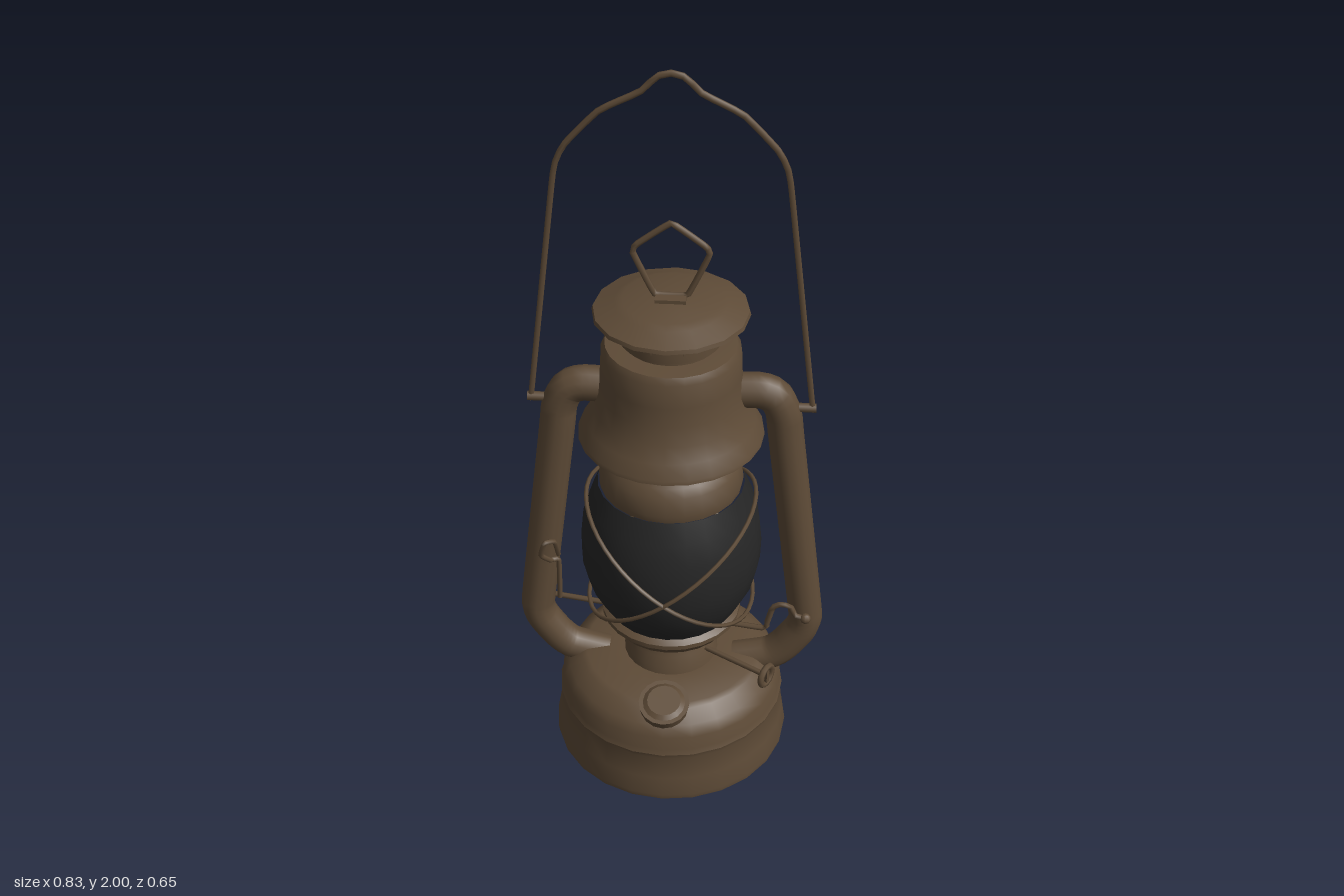
import * as THREE from 'three';
import { toCreasedNormals } from 'three/addons/utils/BufferGeometryUtils.js';

export function createModel() {
  const lantern = new THREE.Group();
  lantern.name = 'lantern';
  const metal = new THREE.MeshStandardMaterial({ color: 0x5e4b37 });
  metal.name = 'agedMetal';
  const glass = new THREE.MeshStandardMaterial({ color: 0x262626 });
  glass.name = 'sootyGlass';

  const add = (name, geometry, material = metal, parent = lantern) => {
    const mesh = new THREE.Mesh(geometry, material);
    mesh.name = name;
    parent.add(mesh);
    return mesh;
  };
  // turned part from [radius, height] pairs, bottom to top
  const turned = (name, profile, material = metal, sides = 24) =>
    add(name, toCreasedNormals(new THREE.LatheGeometry(
      profile.map(([r, y]) => new THREE.Vector2(r, y)), sides), 0.6), material);
  // bent wire or pipe through points
  const bent = (name, points, radius, { closed = false, tension = 0.2, steps = 6, sides = 6 } = {}) => {
    const path = new THREE.CatmullRomCurve3(
      points.map(p => new THREE.Vector3(...p)), closed, 'catmullrom', tension);
    return add(name, new THREE.TubeGeometry(path, points.length * steps, radius, sides, closed));
  };

  // fuel tank with rolled foot and domed shoulder
  turned('fuelTank', [[0, 0], [0.323, 0], [0.325, 0.015], [0.315, 0.07], [0.308, 0.14], [0.312, 0.155],
    [0.306, 0.17], [0.302, 0.21], [0.285, 0.24], [0.25, 0.268], [0.235, 0.276], [0.13, 0.28], [0, 0.28]]);
  // burner cone and globe plate
  turned('burner', [[0.13, 0.275], [0.125, 0.3], [0.115, 0.33], [0.1, 0.37], [0.098, 0.41], [0, 0.41]]);
  turned('globePlate', [[0, 0.395], [0.165, 0.395], [0.175, 0.41], [0.188, 0.425], [0.188, 0.438], [0.172, 0.45], [0, 0.45]]);
  turned('globe', [[0.168, 0.44], [0.195, 0.485], [0.222, 0.54], [0.238, 0.61], [0.24, 0.67],
    [0.233, 0.74], [0.216, 0.8], [0.192, 0.86]], glass);
  // collar above the globe
  turned('collar', [[0, 0.855], [0.185, 0.855], [0.188, 0.875], [0.178, 0.925], [0.162, 0.945],
    [0.146, 0.965], [0.144, 1.06], [0, 1.06]]);
  // flared hood
  turned('hood', [[0.14, 1.05], [0.222, 1.025], [0.238, 1.015], [0.236, 1.025], [0.215, 1.06], [0.196, 1.1], [0.184, 1.15],
    [0.178, 1.2], [0.175, 1.265], [0.165, 1.283], [0.12, 1.287], [0, 1.287]]);

  // vented chimney: lower ring, four posts and a top cap
  turned('chimneyRing', [[0.118, 1.28], [0.118, 1.295], [0.13, 1.3], [0.13, 1.327], [0.12, 1.33], [0, 1.33]]);
  for (let i = 0; i < 4; i++) {
    const post = add('ventPost', new THREE.BoxGeometry(0.08, 0.06, 0.012));
    const a = i * Math.PI / 2;
    post.position.set(Math.sin(a) * 0.118, 1.35, Math.cos(a) * 0.118);
    post.rotation.y = a;
  }
  turned('chimneyCap', [[0, 1.37], [0.13, 1.37], [0.185, 1.365], [0.195, 1.368], [0.192, 1.378], [0.14, 1.398],
    [0.12, 1.406], [0, 1.41]], metal, 16);

  // lifting ring and its clip
  bent('liftRing', [[-0.04, 1.417, 0], [-0.092, 1.53, 0], [-0.085, 1.55, 0], [0, 1.612, 0],
    [0.085, 1.55, 0], [0.092, 1.53, 0], [0.04, 1.417, 0]], 0.008, { closed: true, tension: 0.1 });
  add('ringClip', new THREE.BoxGeometry(0.075, 0.014, 0.045)).position.set(0, 1.411, 0.01);

  // side air pipes
  for (const s of [-1, 1]) {
    bent('airPipe', [[0.15, 1.145], [0.225, 1.147], [0.262, 1.13], [0.284, 1.08], [0.294, 1.0], [0.362, 0.46],
      [0.367, 0.4], [0.355, 0.36], [0.315, 0.3], [0.275, 0.265], [0.18, 0.24]]
      .map(([x, y]) => [s * x, y, 0]), 0.046, { tension: 0.35, sides: 12 });
    // pivot where the handle hooks on
    const pivot = add('handlePivot', new THREE.CylinderGeometry(0.012, 0.012, 0.07, 8));
    pivot.position.set(s * 0.33, 1.1, 0);
    pivot.rotation.z = Math.PI / 2;
  }

  // carrying handle
  const side = [[0.34, 1.1], [0.357, 1.09], [0.353, 1.12], [0.28, 1.7], [0.268, 1.765], [0.245, 1.81],
    [0.165, 1.895], [0.07, 1.945], [0.035, 1.982]];
  bent('handle', [...side.map(([x, y]) => [-x, y, 0]), [0, 1.992, 0],
    ...side.reverse().map(([x, y]) => [x, y, 0])], 0.008, { tension: 0.25, steps: 4 });

  // two tilted guard wires crossing front and back of the globe
  for (const s of [-1, 1]) {
    const loop = [];
    for (let i = 0; i < 16; i++) {
      const a = i * Math.PI / 8;
      loop.push([Math.cos(a) * 0.222, 0.645 + s * Math.cos(a) * 0.17, Math.sin(a) * 0.265]);
    }
    bent('guardWire', loop, 0.006, { closed: true, tension: 0.5, steps: 3, sides: 5 });
  }

  // globe lifting rod with bent thumb lever
  bent('liftRod', [[-0.4, 0.395, -0.065], [-0.33, 0.395, -0.05], [0.24, 0.395, 0.045], [0.262, 0.41, 0.05],
    [0.278, 0.475, 0.052], [0.3, 0.49, 0.054], [0.325, 0.485, 0.056], [0.34, 0.455, 0.058], [0.372, 0.45, 0.062]], 0.008);
  for (const p of [[-0.395, 0.395, -0.064], [0.367, 0.45, 0.062]])
    add('rodKnob', new THREE.SphereGeometry(0.015, 8, 6)).position.set(...p);

  // finger catch on the right pipe
  bent('fingerCatch', [[-0.3, 0.465, 0.04], [-0.298, 0.6, 0.045], [-0.318, 0.61, 0.06], [-0.338, 0.65, 0.09],
    [-0.325, 0.7, 0.1], [-0.302, 0.69, 0.08], [-0.298, 0.62, 0.045]], 0.007);

  // wick shaft and knob, pointing out to the front left
  const wick = new THREE.Group();
  wick.name = 'wickAdjuster';
  wick.position.y = 0.322;
  wick.rotation.y = -Math.atan2(0.15, 0.26);
  lantern.add(wick);
  const shaft = add('wickShaft', new THREE.CylinderGeometry(0.008, 0.008, 0.24, 6), metal, wick);
  shaft.position.x = 0.19;
  shaft.rotation.z = Math.PI / 2;
  const knob = add('wickKnob', new THREE.TorusGeometry(0.028, 0.009, 6, 12), metal, wick);
  knob.position.x = 0.31;
  knob.rotation.y = Math.PI / 2;
  add('wickKnobBar', new THREE.BoxGeometry(0.012, 0.05, 0.012), metal, wick).position.x = 0.31;

  // tilted filler neck and cap
  const filler = new THREE.Group();
  filler.name = 'filler';
  filler.position.set(0, 0.272, 0.245);
  filler.rotation.x = 0.28;
  lantern.add(filler);
  add('fillerNeck', new THREE.CylinderGeometry(0.048, 0.052, 0.08, 16), metal, filler).position.y = -0.02;
  add('fillerCap', new THREE.CylinderGeometry(0.068, 0.064, 0.028, 16), metal, filler).position.y = 0.012;
  add('fillerCapTop', new THREE.CylinderGeometry(0.045, 0.058, 0.01, 16), metal, filler).position.y = 0.03;

  return lantern;
}
